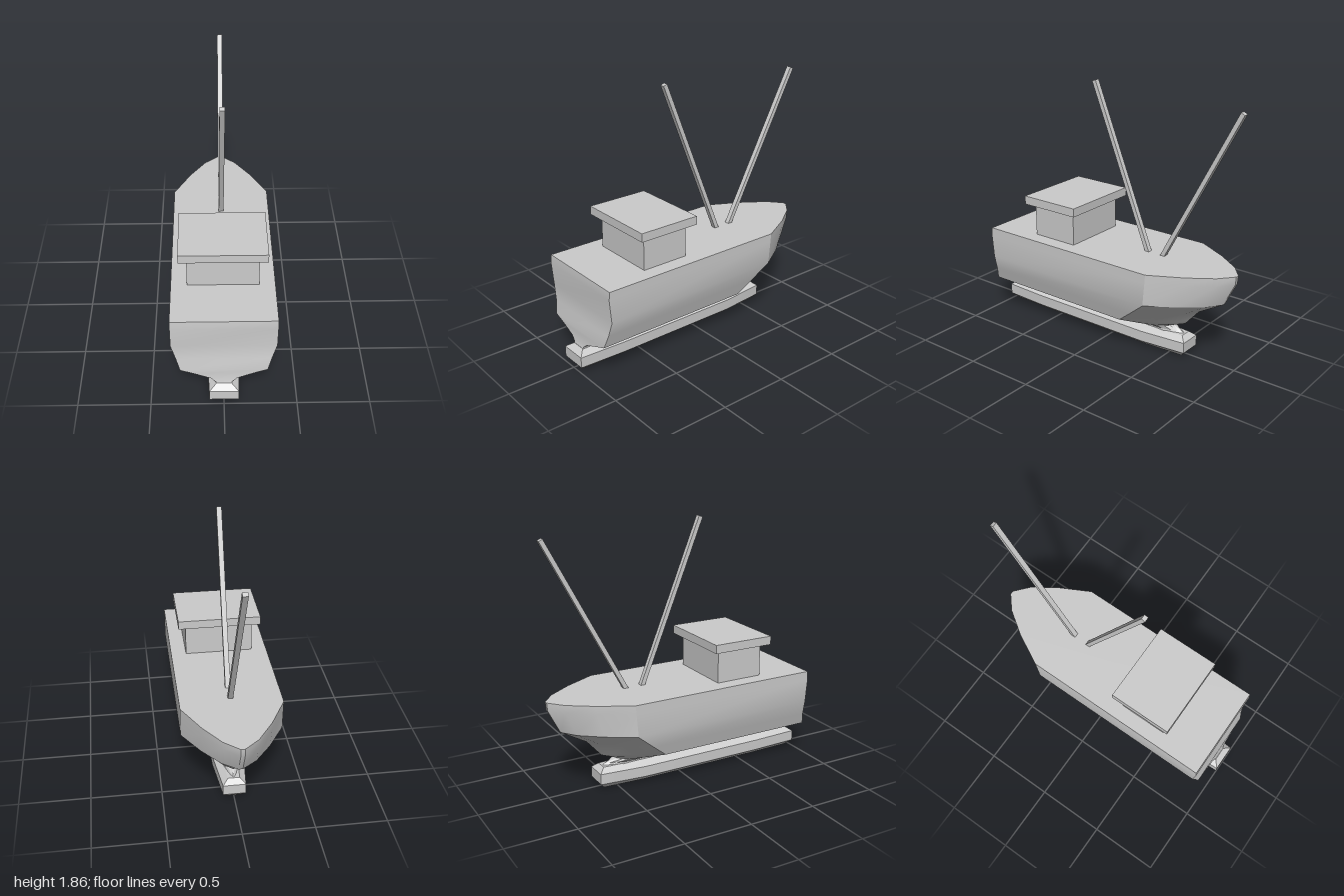
import * as THREE from 'three';
import { toCreasedNormals } from 'three/addons/utils/BufferGeometryUtils.js';

const material = new THREE.MeshStandardMaterial({ color: 0xcccccc });

// Mirror a right-hand outline (stern to bow) into a closed counterclockwise ring.
function mirrorRing(half, y) {
  const ring = half.map(([x, z]) => [x, y, z]);
  return ring.concat(half.slice().reverse().map(([x, z]) => [-x, y, z]));
}

// Skin rings from bottom to top and cap both ends.
function loft(rings, crease) {
  const n = rings[0].length;
  const pos = rings.flat(2);
  const index = [];
  for (let i = 0; i < rings.length - 1; i++) {
    for (let j = 0; j < n; j++) {
      const k = (j + 1) % n;
      const a = i * n + j, b = i * n + k;
      index.push(a, b, b + n, a, b + n, a + n);
    }
  }
  [0, rings.length - 1].forEach((r, end) => {
    const c = pos.length / 3;
    pos.push(0, rings[r][0][1], 0);
    for (let j = 0; j < n; j++) {
      const a = r * n + j, b = r * n + (j + 1) % n;
      if (end) index.push(c, a, b);
      else index.push(c, b, a);
    }
  });
  const geo = new THREE.BufferGeometry();
  geo.setAttribute('position', new THREE.Float32BufferAttribute(pos, 3));
  geo.setIndex(index);
  return toCreasedNormals(geo, crease);
}

// Hull waterline: parallel sides, then a rounded taper from shoulder to bow.
function hullRing([y, w, stern, shoulder, bow]) {
  const taper = [[1, 0], [0.66, 0.47], [0.33, 0.82], [0.04, 1]];
  const half = [[w, stern]];
  for (const [fx, t] of taper) half.push([w * fx, shoulder + (bow - shoulder) * t]);
  return mirrorRing(half, y);
}

// Keel outline: slightly narrowed stern, bulged middle, narrower bow end.
function keelRing([y, w, stern, bow]) {
  return mirrorRing([[w * 0.87, stern], [w, 0.65], [w, 0.1], [w, -0.3], [w * 0.7, bow]], y);
}

export function createModel() {
  const group = new THREE.Group();
  const add = (name, geo) => {
    const mesh = new THREE.Mesh(geo, material);
    mesh.name = name;
    group.add(mesh);
    return mesh;
  };

  // Hull levels: y, half width, stern z, shoulder z, bow z
  add('hull', loft([
    [0.15, 0.055, 0.955, -0.45, -0.6],
    [0.165, 0.055, 0.95, -0.44, -0.57],
    [0.195, 0.09, 0.945, -0.42, -0.5],
    [0.235, 0.2, 0.94, -0.33, -0.6],
    [0.27, 0.295, 0.94, -0.24, -0.63],
    [0.36, 0.322, 0.92, -0.35, -0.71],
    [0.47, 0.355, 0.91, -0.48, -0.9],
    [0.64, 0.355, 0.925, -0.495, -0.985],
    [0.7, 0.355, 0.92, -0.5, -0.99],
  ].map(hullRing), 0.45));

  // Keel levels: y, half width, stern z, bow z
  add('keel', loft([
    [0, 0.06, 0.95, -0.6],
    [0.045, 0.115, 1, -0.64],
    [0.122, 0.115, 1, -0.64],
    [0.155, 0.06, 0.955, -0.6],
  ].map(keelRing), 0.35));

  // Wheelhouse
  add('cabin', new THREE.BoxGeometry(0.49, 0.24, 0.355)).position.set(0, 0.82, 0.388);
  add('cabinRoof', new THREE.BoxGeometry(0.6, 0.062, 0.46)).position.set(0, 0.97, 0.388);

  // Two leaning masts: foot and tip as (y, z)
  const mast = (name, foot, tip) => {
    const a = new THREE.Vector3(0, ...foot), b = new THREE.Vector3(0, ...tip);
    const dir = b.clone().sub(a);
    const mesh = add(name, new THREE.BoxGeometry(0.036, dir.length(), 0.031));
    mesh.position.copy(a).add(b).multiplyScalar(0.5);
    mesh.rotation.x = Math.atan2(dir.z, dir.y);
  };
  mast('aftMast', [0.67, -0.281], [1.853, 0.197]);
  mast('foreMast', [0.67, -0.384], [1.79, -0.982]);

  return group;
}
